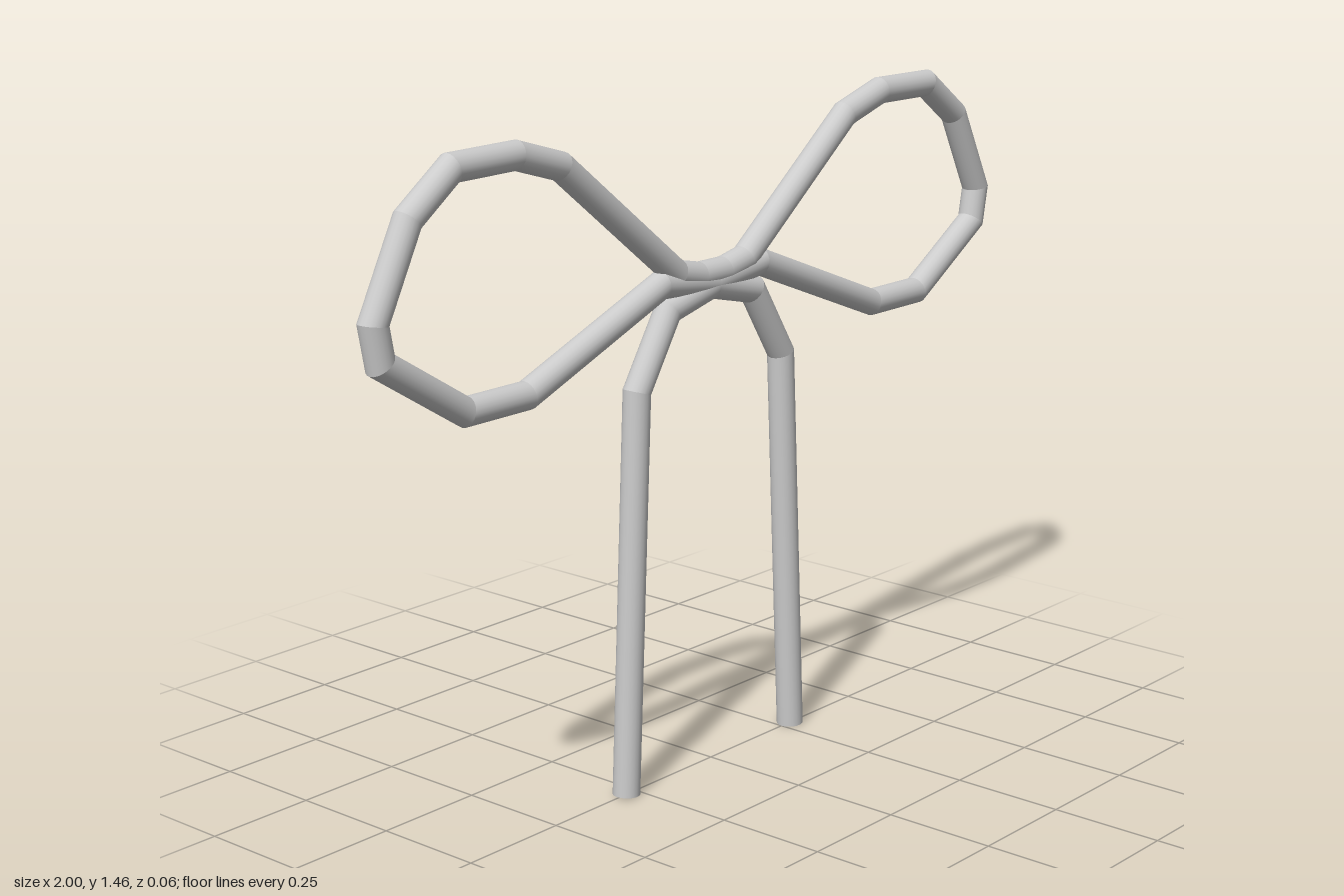
import * as THREE from 'three';

const R = 0.03, SIDES = 20;
const material = new THREE.MeshStandardMaterial({ color: 0xcccccc });

// Round rod along a polyline in the XY plane: mitred joints, each segment shaded on its own
function rod(name, pts) {
  const last = pts.length - 1;
  const dirs = pts.slice(1).map((p, i) => p.clone().sub(pts[i]).normalize());
  const side = d => new THREE.Vector2(d.y, -d.x);
  const mitres = pts.map((p, i) => {
    const a = side(dirs[Math.max(i - 1, 0)]), b = side(dirs[Math.min(i, last - 1)]);
    const m = a.clone().add(b).normalize();
    return m.divideScalar(m.dot(a));
  });
  const pos = [], nor = [], idx = [];
  dirs.forEach((d, s) => {
    const n = side(d), base = pos.length / 3;
    for (let j = 0; j <= SIDES; j++) {
      const t = (j / SIDES) * Math.PI * 2, c = Math.cos(t), z = Math.sin(t);
      for (const k of [s, s + 1]) {
        pos.push(pts[k].x + mitres[k].x * c * R, pts[k].y + mitres[k].y * c * R, z * R);
        nor.push(n.x * c, n.y * c, z);
      }
      if (j < SIDES) {
        const a = base + j * 2;
        idx.push(a, a + 2, a + 1, a + 1, a + 2, a + 3);
      }
    }
  });
  const geo = new THREE.BufferGeometry();
  geo.setAttribute('position', new THREE.Float32BufferAttribute(pos, 3));
  geo.setAttribute('normal', new THREE.Float32BufferAttribute(nor, 3));
  // Keep the winding outward
  for (let i = 0; i < idx.length; i += 3) {
    const [a, b, c] = [0, 1, 2].map(k => new THREE.Vector3().fromArray(pos, idx[i + k] * 3));
    const face = b.sub(a).cross(c.sub(a));
    if (face.dot(new THREE.Vector3().fromArray(nor, idx[i] * 3)) < 0) {
      [idx[i + 1], idx[i + 2]] = [idx[i + 2], idx[i + 1]];
    }
  }
  geo.setIndex(idx);
  const mesh = new THREE.Mesh(geo, material);
  mesh.name = name;
  return mesh;
}

const points = (list, sx = 1) => list.map(([x, y]) => new THREE.Vector2(x * sx, y));

export function createModel() {
  const group = new THREE.Group();
  group.name = 'wireBow';

  // One loop of the bow, from the upper strand round to the lower strand
  const loop = [
    [0, 1.1], [0.04, 1.1], [0.11, 1.115], [0.457, 1.387], [0.583, 1.425], [0.757, 1.423],
    [0.872, 1.34], [0.967, 1.155], [0.952, 1.077], [0.735, 0.942], [0.564, 0.942],
    [0.16, 1.1], [0, 1.08],
  ];
  // Half of the arch: crown, shoulder, knee and foot
  const leg = [[0, 1.075], [0.138, 1.042], [0.237, 0.885], [0.28, 0.001]];

  for (const [label, s] of [['left', 1], ['right', -1]]) {
    group.add(rod(label + 'Loop', points(loop, s)));
    group.add(rod(label + 'Leg', points(leg, s)));

    // Flat end of the leg
    const foot = new THREE.Mesh(new THREE.CircleGeometry(R, SIDES), material);
    foot.name = label + 'Foot';
    foot.rotation.set(Math.PI / 2, s * 0.05, 0);
    foot.position.set(s * 0.28, 0.001, 0);
    group.add(foot);
  }
  return group;
}
